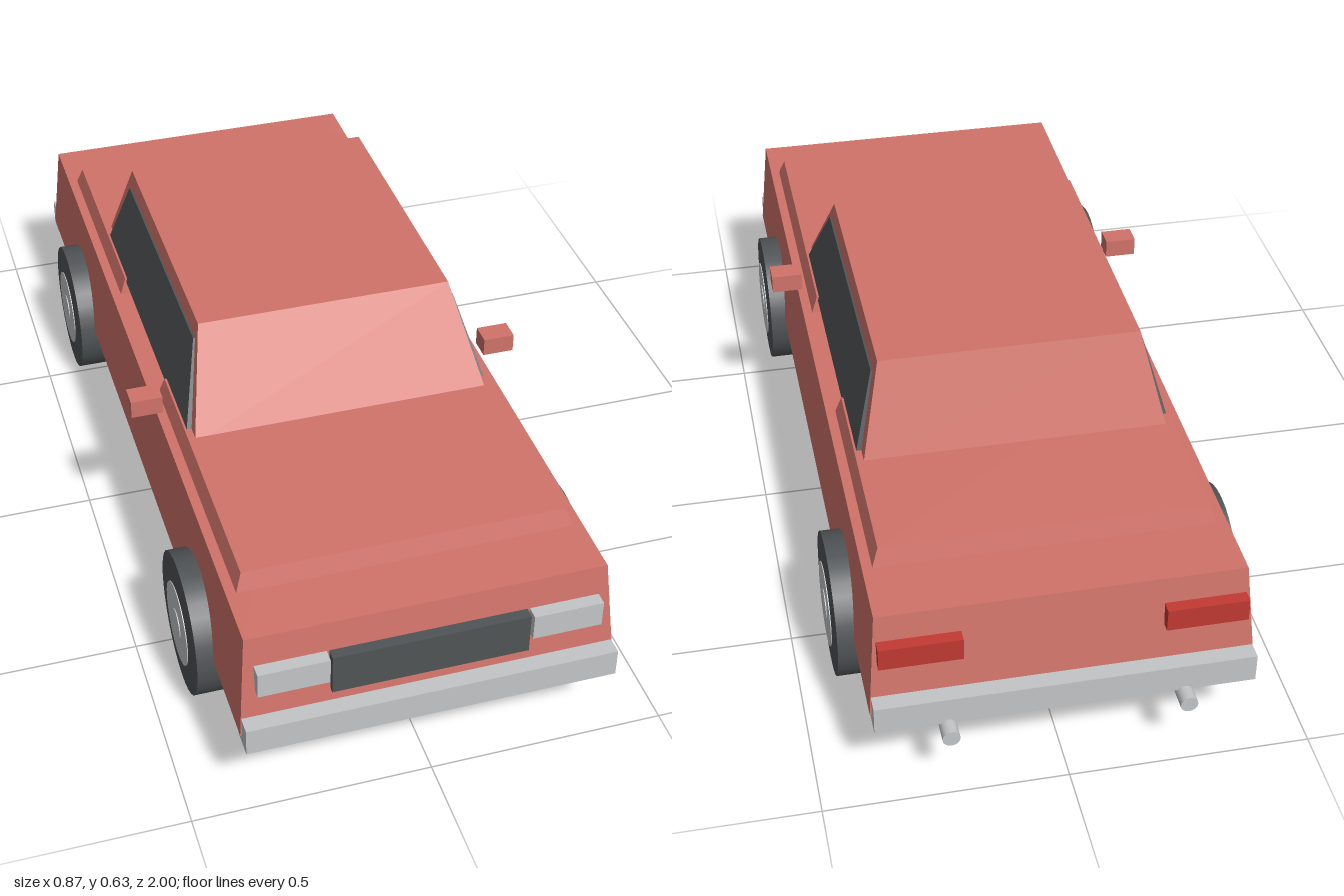
import * as THREE from 'three';

const paint = new THREE.MeshStandardMaterial({ name: 'red paint', color: 0xd0736a });
const dark = new THREE.MeshStandardMaterial({ name: 'dark grey', color: 0x505456 });
const silver = new THREE.MeshStandardMaterial({ name: 'silver', color: 0xc4c5c7 });
const tailRed = new THREE.MeshStandardMaterial({ name: 'tail light red', color: 0xc23a32 });

export function createModel() {
  const car = new THREE.Group();
  car.name = 'car';

  const add = (name, geometry, material) => {
    const mesh = new THREE.Mesh(geometry, material);
    mesh.name = name;
    car.add(mesh);
    return mesh;
  };

  // Box given by its limits on each axis
  const box = (name, material, x0, x1, y0, y1, z0, z1) =>
    add(name, new THREE.BoxGeometry(x1 - x0, y1 - y0, z1 - z0), material)
      .position.set((x0 + x1) / 2, (y0 + y1) / 2, (z0 + z1) / 2);

  // Box symmetric in x whose bottom and top rectangles differ: [y, halfWidth, zBack, zFront]
  const taperedBox = (name, material, bottom, top) => {
    const geometry = new THREE.BoxGeometry(1, 1, 1);
    const p = geometry.attributes.position;
    for (let i = 0; i < p.count; i++) {
      const [y, w, back, front] = p.getY(i) > 0 ? top : bottom;
      p.setXYZ(i, Math.sign(p.getX(i)) * w, y, p.getZ(i) > 0 ? front : back);
    }
    geometry.computeVertexNormals();
    return add(name, geometry, material);
  };

  // Body shell
  box('chassis', dark, -0.362, 0.362, 0.11, 0.2, -0.853, 0.895);
  taperedBox('body', paint, [0.18, 0.39, -0.935, 0.97], [0.402, 0.372, -0.902, 0.937]);
  taperedBox('hood', paint, [0.4, 0.352, 0.148, 0.81], [0.44, 0.338, 0.155, 0.795]);
  taperedBox('trunkLid', paint, [0.4, 0.352, -0.76, -0.238], [0.44, 0.338, -0.747, -0.245]);
  taperedBox('cabin', paint, [0.43, 0.325, -0.474, 0.378], [0.634, 0.278, -0.396, 0.238]);
  taperedBox('sideWindows', dark, [0.43, 0.336, -0.438, 0.345], [0.6, 0.29, -0.378, 0.24]);

  // Front and rear fittings
  box('grille', dark, -0.204, 0.204, 0.246, 0.338, 0.92, 0.97);
  box('frontBumper', silver, -0.386, 0.386, 0.158, 0.22, 0.942, 1);
  box('rearBumper', silver, -0.386, 0.386, 0.158, 0.22, -0.965, -0.91);

  // Tyre section: [radius, distance along axle]
  const tyreProfile = [[0, 0], [0.153, 0], [0.153, 0], [0.153, 0.097], [0.153, 0.097], [0.09, 0.101], [0, 0.101]]
    .map(([r, y]) => new THREE.Vector2(r, y));

  for (const s of [1, -1]) {
    const side = s > 0 ? 'left' : 'right';
    const mirrored = (name, material, x0, x1, ...rest) =>
      box(side + name, material, s > 0 ? x0 : -x1, s > 0 ? x1 : -x0, ...rest);

    mirrored('Headlight', silver, 0.209, 0.355, 0.28, 0.338, 0.92, 0.974);
    mirrored('TailLight', tailRed, 0.203, 0.37, 0.296, 0.346, -0.936, -0.89);
    mirrored('Mirror', paint, 0.365, 0.434, 0.43, 0.471, 0.208, 0.256);

    // Exhaust pipe
    const pipe = add(side + 'Exhaust', new THREE.CylinderGeometry(0.018, 0.018, 0.15, 16), silver);
    pipe.rotation.x = Math.PI / 2;
    pipe.position.set(s * 0.24, 0.149, -0.925);

    // Wheels: tyre, hub cap and centre nub, built along the axle
    for (const [end, z] of [['Front', 0.608], ['Rear', -0.571]]) {
      const wheel = new THREE.Group();
      wheel.name = side + end + 'Wheel';
      const part = (name, geometry, material, y) => {
        const mesh = new THREE.Mesh(geometry, material);
        mesh.name = name;
        mesh.position.y = y;
        wheel.add(mesh);
      };
      part('tyre', new THREE.LatheGeometry(tyreProfile, 32), dark, 0);
      part('hubCap', new THREE.CylinderGeometry(0.09, 0.09, 0.01, 32), silver, 0.098);
      part('hubNub', new THREE.CylinderGeometry(0.032, 0.032, 0.01, 20), silver, 0.1);
      wheel.rotation.z = -s * Math.PI / 2;
      wheel.position.set(s * 0.327, 0.153, z);
      car.add(wheel);
    }
  }
  return car;
}
